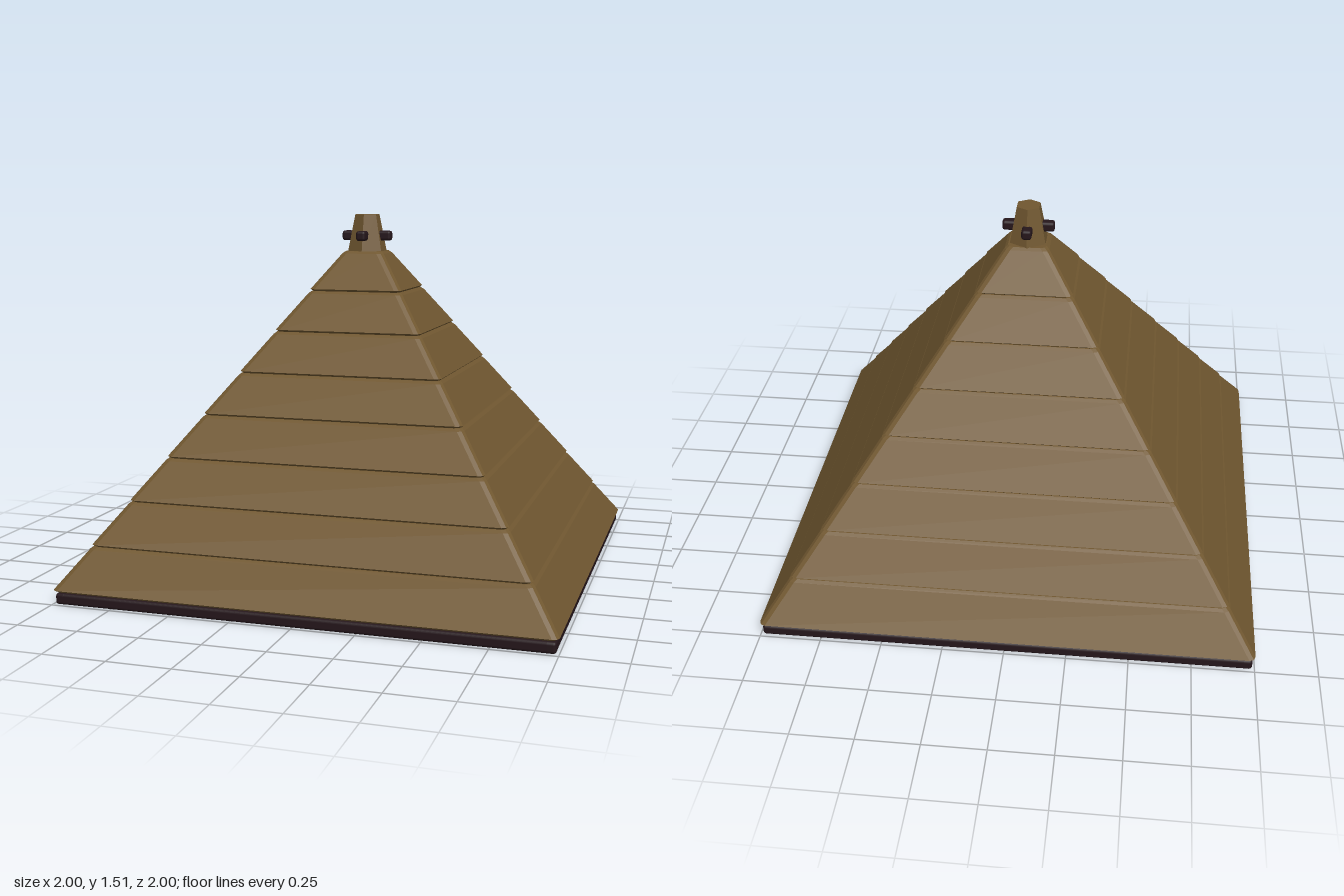
import * as THREE from 'three';
import { RoundedBoxGeometry } from 'three/addons/geometries/RoundedBoxGeometry.js';

const roofBrown = new THREE.MeshStandardMaterial({ color: 0x705730 });
roofBrown.name = 'roofBrown';
const darkWood = new THREE.MeshStandardMaterial({ color: 0x25161b });
darkWood.name = 'darkWood';

// Square outline with softened corners, counter-clockwise seen from above
function outline(half, y, radius) {
  const points = [];
  const c = half - radius;
  for (let k = 0; k < 4; k++) {
    const cx = k === 0 || k === 3 ? c : -c;
    const cz = k < 2 ? -c : c;
    for (let s = 0; s <= 2; s++) {
      const a = (k + s / 2) * Math.PI / 2;
      points.push(new THREE.Vector3(cx + radius * Math.cos(a), y, cz - radius * Math.sin(a)));
    }
  }
  return points;
}

// Closed, flat-faced solid through a stack of [halfWidth, y] levels
function taperedSlab(levels, radius) {
  const rings = levels.map(([half, y]) => outline(half, y, radius));
  const pos = [];
  const tri = (...corners) => corners.forEach((p) => pos.push(p.x, p.y, p.z));
  const n = rings[0].length;
  const top = rings[rings.length - 1];
  const bottom = rings[0];
  for (let i = 0; i < n; i++) {
    const j = (i + 1) % n;
    for (let r = 0; r < rings.length - 1; r++) {
      const a = rings[r], b = rings[r + 1];
      tri(a[i], a[j], b[j]);
      tri(a[i], b[j], b[i]);
    }
    tri(new THREE.Vector3(0, top[0].y, 0), top[i], top[j]);
    tri(new THREE.Vector3(0, bottom[0].y, 0), bottom[j], bottom[i]);
  }
  const geometry = new THREE.BufferGeometry();
  geometry.setAttribute('position', new THREE.Float32BufferAttribute(pos, 3));
  geometry.computeVertexNormals();
  return geometry;
}

export function createModel() {
  const model = new THREE.Group();
  model.name = 'pyramidRoof';
  const add = (name, geometry, material, x = 0, y = 0, z = 0) => {
    const mesh = new THREE.Mesh(geometry, material);
    mesh.name = name;
    mesh.position.set(x, y, z);
    model.add(mesh);
    return mesh;
  };

  // Eight stacked roof courses with bevelled top and bottom edges
  for (let i = 0; i < 8; i++) {
    const w = 1 - 0.1145 * i;
    const y = 0.05 + 0.1638 * i;
    add('roofCourse' + (i + 1), taperedSlab([
      [w - 0.01, y], [w, y + 0.008], [w - 0.107, y + 0.154], [w - 0.119, y + 0.1638],
    ], 0.025), roofBrown);
  }

  // Eave rails under the lowest course
  for (const s of [-1, 1]) {
    add('eaveRail', new RoundedBoxGeometry(1.98, 0.045, 0.045, 2, 0.012), darkWood, 0, 0.0225, s * 0.967);
    add('eaveRail', new RoundedBoxGeometry(0.045, 0.045, 1.98, 2, 0.012), darkWood, s * 0.967, 0.0225, 0);
  }

  // Six-sided finial
  const finial = new THREE.CylinderGeometry(0.053, 0.085, 0.156, 6).toNonIndexed();
  finial.computeVertexNormals();
  add('finial', finial, roofBrown, 0, 1.437, 0);

  // Crossed pegs through the finial
  add('crossPeg', new RoundedBoxGeometry(0.216, 0.042, 0.042, 2, 0.012), darkWood, 0, 1.425, 0);
  add('crossPeg', new RoundedBoxGeometry(0.042, 0.042, 0.216, 2, 0.012), darkWood, 0, 1.425, 0);

  return model;
}
